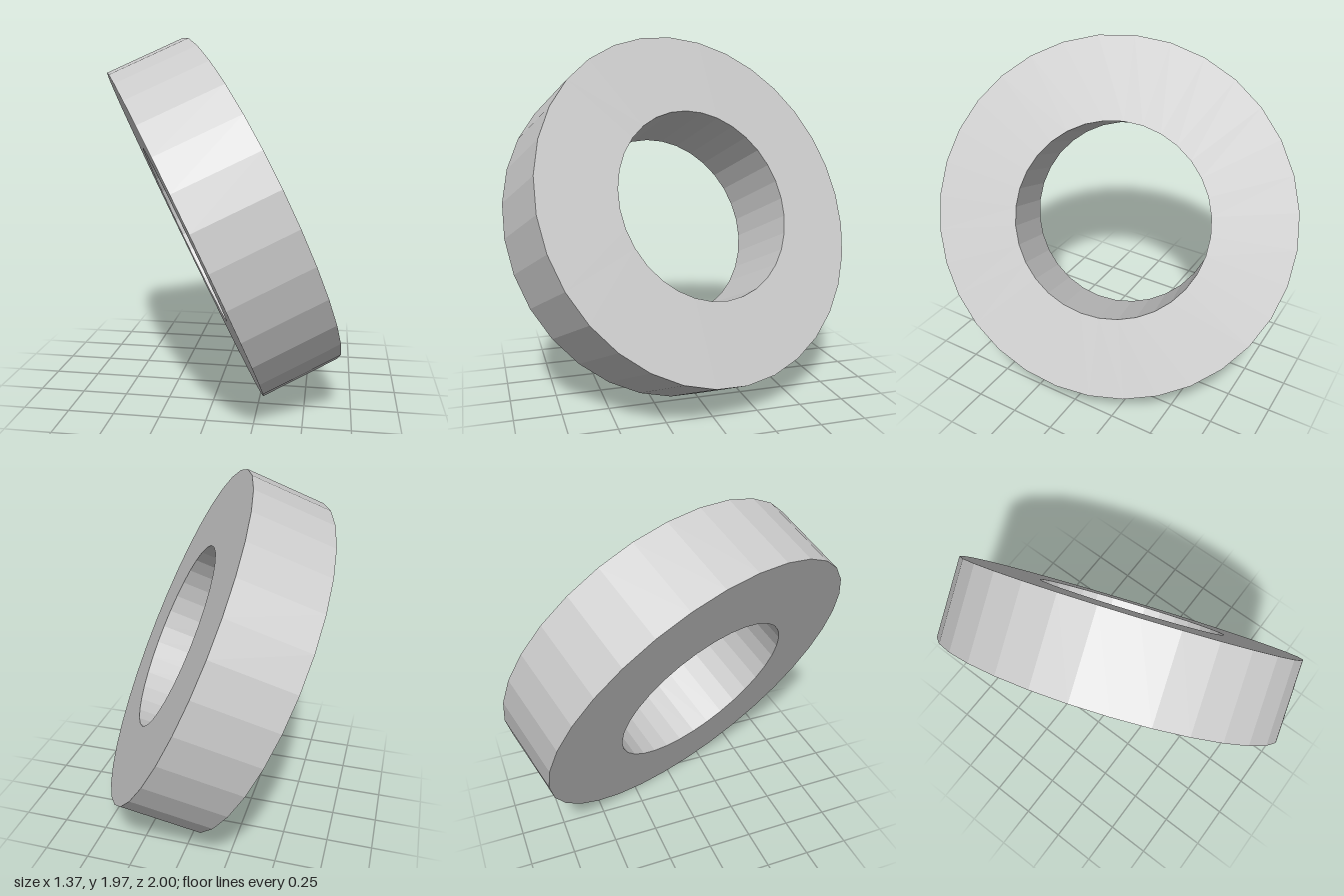
import * as THREE from 'three';

const SIDES = 32;
const OUTER = 0.98, INNER = 0.535, HALF = 0.225;

export function createModel() {
  const group = new THREE.Group();
  group.name = 'tiltedWasher';

  // Closed rectangular section turned around the axis, with flat facets
  const section = [
    [INNER, -HALF], [OUTER, -HALF], [OUTER, HALF], [INNER, HALF], [INNER, -HALF],
  ].map(([r, y]) => new THREE.Vector2(r, y));
  const geometry = new THREE.LatheGeometry(section, SIDES, Math.PI / SIDES);
  const material = new THREE.MeshStandardMaterial({ color: 0xcccccc, flatShading: true });
  const ring = new THREE.Mesh(geometry, material);
  ring.name = 'ring';

  // Lean the axis to the left, up and back; a facet faces straight forward
  const axis = new THREE.Vector3(0.864, 0.412, -0.29).normalize();
  const forward = new THREE.Vector3(0, 0, 1).projectOnPlane(axis).normalize();
  const side = new THREE.Vector3().crossVectors(axis, forward);
  ring.quaternion.setFromRotationMatrix(new THREE.Matrix4().makeBasis(side, axis, forward));
  ring.position.y = 0.985;

  group.add(ring);
  return group;
}
